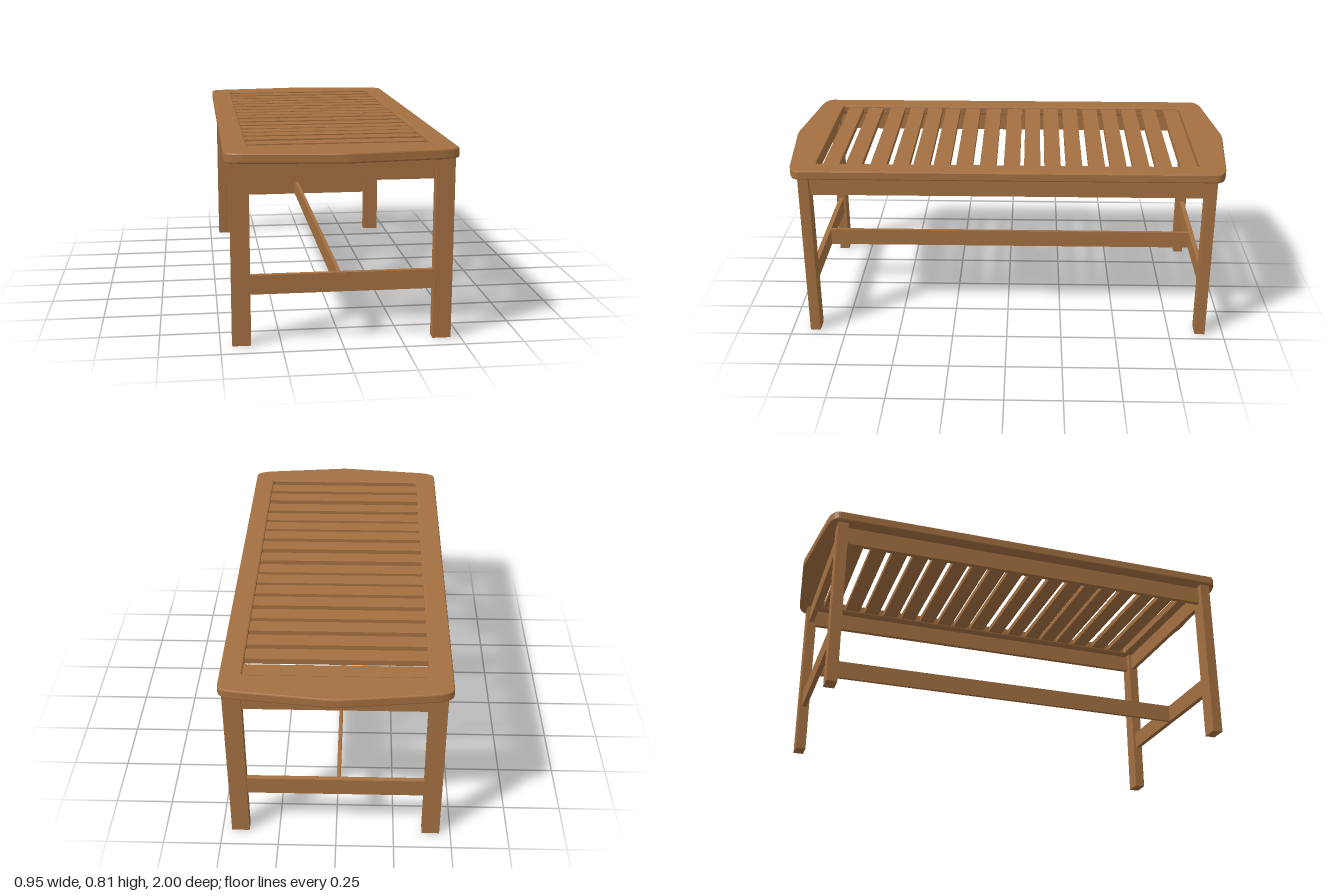
import * as THREE from 'three';

export function createModel() {
  const table = new THREE.Group();
  table.name = 'slattedTable';
  const wood = new THREE.MeshStandardMaterial({ color: 0xa47041 });
  wood.name = 'warm wood';

  // Board given by its limits along each axis
  function board(name, [x0, x1], [y0, y1], [z0, z1]) {
    const mesh = new THREE.Mesh(new THREE.BoxGeometry(x1 - x0, y1 - y0, z1 - z0), wood);
    mesh.position.set((x0 + x1) / 2, (y0 + y1) / 2, (z0 + z1) / 2);
    mesh.name = name;
    table.add(mesh);
  }

  // Table top frame: bowed ends, rounded corners and a slat opening
  const bevel = 0.006;
  const w = 0.473 - bevel, end = 1 - bevel;
  const outline = new THREE.Shape();
  outline.moveTo(w, -0.91);
  outline.lineTo(w, 0.91);
  outline.quadraticCurveTo(w, 0.94, 0.4, 0.951);
  outline.lineTo(0.05, end - 0.004);
  outline.quadraticCurveTo(0, end + 0.004, -0.05, end - 0.004);
  outline.lineTo(-0.4, 0.951);
  outline.quadraticCurveTo(-w, 0.94, -w, 0.91);
  outline.lineTo(-w, -0.91);
  outline.quadraticCurveTo(-w, -0.94, -0.4, -0.951);
  outline.lineTo(-0.05, -end + 0.004);
  outline.quadraticCurveTo(0, -end - 0.004, 0.05, -end + 0.004);
  outline.lineTo(0.4, -0.951);
  outline.quadraticCurveTo(w, -0.94, w, -0.91);

  const l = -0.375 - bevel, r = 0.382 + bevel, e = 0.845 + bevel, c = 0.02;
  const opening = new THREE.Path();
  opening.moveTo(l + c, -e);
  opening.lineTo(r - c, -e);
  opening.quadraticCurveTo(r, -e, r, -e + c);
  opening.lineTo(r, e - c);
  opening.quadraticCurveTo(r, e, r - c, e);
  opening.lineTo(l + c, e);
  opening.quadraticCurveTo(l, e, l, e - c);
  opening.lineTo(l, -e + c);
  opening.quadraticCurveTo(l, -e, l + c, -e);
  outline.holes.push(opening);

  const frameGeometry = new THREE.ExtrudeGeometry(outline, {
    depth: 0.042 - 2 * bevel, bevelEnabled: true, bevelSize: bevel,
    bevelThickness: bevel, bevelSegments: 2, curveSegments: 8,
  });
  frameGeometry.rotateX(-Math.PI / 2);
  const frame = new THREE.Mesh(frameGeometry, wood);
  frame.name = 'topFrame';
  frame.position.y = 0.767 + bevel;
  table.add(frame);

  // Slats, slightly unevenly spaced and let into the frame
  const slatCentres = [-0.8, -0.69, -0.59, -0.49, -0.395, -0.295, -0.2, -0.11,
    -0.02, 0.085, 0.19, 0.29, 0.38, 0.47, 0.57, 0.68, 0.78];
  slatCentres.forEach((z, i) => {
    board('slat' + (i + 1), [-0.385, 0.392], [0.775, 0.8], [z - 0.036, z + 0.036]);
  });

  // Legs, end aprons and low end rails
  for (const s of [1, -1]) {
    const span = (a, b) => (s > 0 ? [a, b] : [-b, -a]);
    const side = s > 0 ? 'front' : 'back';
    board(side + 'RightLeg', [-0.452, -0.375], [0, 0.769], span(0.87, 0.916));
    board(side + 'LeftLeg', [0.382, 0.459], [0, 0.769], span(0.87, 0.916));
    board(side + 'Apron', [-0.375, 0.382], [0.679, 0.759], span(0.882, 0.904));
    board(side + 'LowRail', [-0.375, 0.382], [0.215, 0.296], span(0.882, 0.904));
  }

  // Long side aprons and the central stretcher
  board('rightApron', [-0.425, -0.403], [0.679, 0.759], [-0.87, 0.87]);
  board('leftApron', [0.41, 0.432], [0.679, 0.759], [-0.87, 0.87]);
  board('centreStretcher', [-0.017, -0.002], [0.215, 0.296], [-0.882, 0.882]);

  return table;
}
